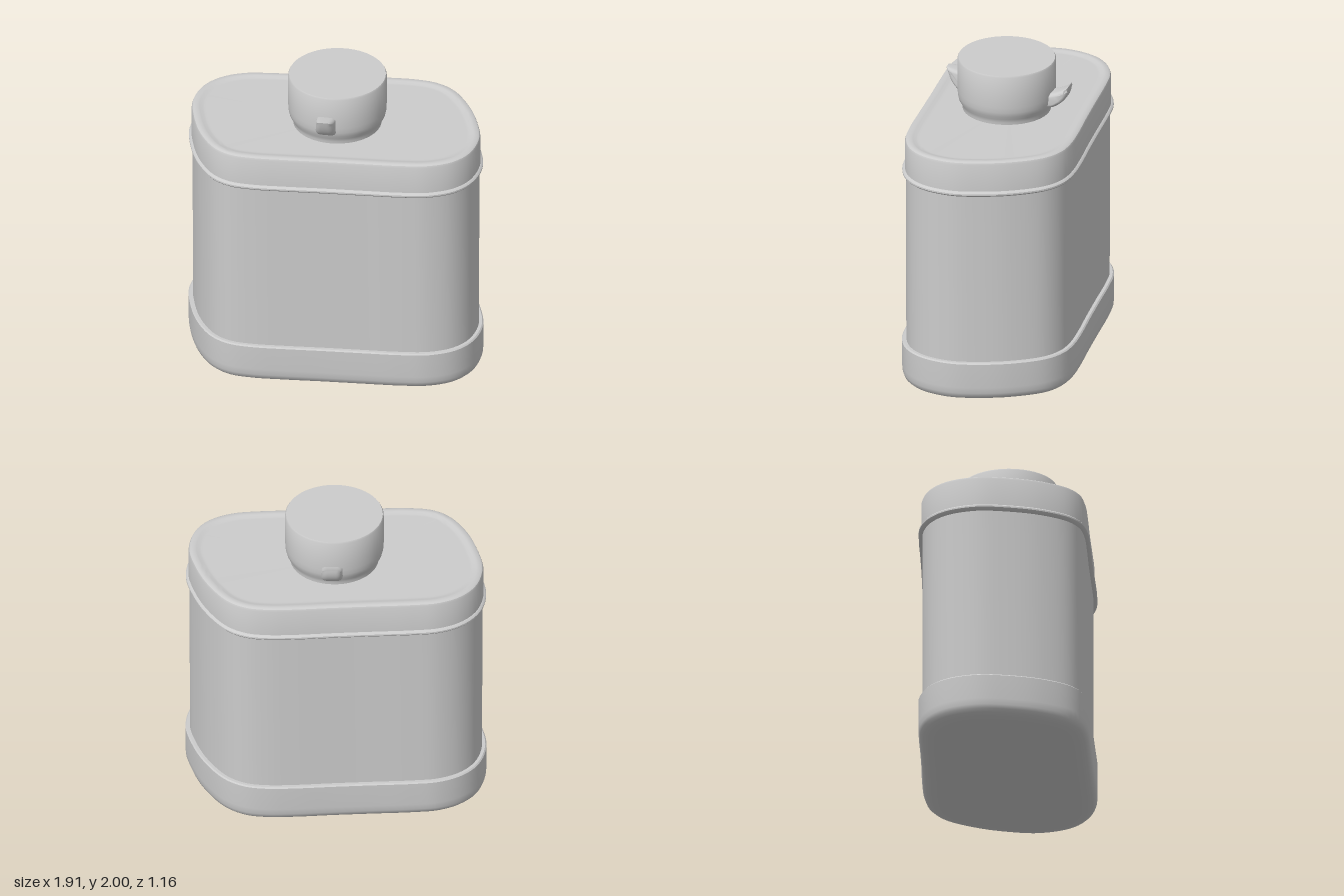
import * as THREE from 'three';
import { toCreasedNormals } from 'three/addons/utils/BufferGeometryUtils.js';

const SEGMENTS = 120;
const material = new THREE.MeshStandardMaterial({ color: 0xcccccc });

// Skewed, slightly uneven oval footprint (x, z).
const footprint = new THREE.CatmullRomCurve3([
  [0, -0.545], [0.25, -0.57], [0.42, -0.577], [0.56, -0.557], [0.69, -0.482],
  [0.825, -0.3], [0.905, -0.12], [0.953, 0.08], [0.92, 0.28], [0.828, 0.408],
  [0.675, 0.489], [0.5, 0.518], [0.25, 0.535],
  [0, 0.55], [-0.25, 0.568], [-0.45, 0.577], [-0.6, 0.56], [-0.72, 0.492],
  [-0.84, 0.327], [-0.92, 0.12], [-0.957, -0.08], [-0.915, -0.275], [-0.815, -0.4],
  [-0.67, -0.475], [-0.5, -0.502], [-0.25, -0.523],
].map(([x, z]) => new THREE.Vector3(x, 0, z)), true);

// Stacks inset copies of the footprint; rows are [height, inset], closed at both ends.
function loft(rows) {
  const position = [], index = [];
  const ring = (y, inset, closed) => {
    for (let i = 0; i < SEGMENTS; i++) {
      const p = footprint.getPointAt(i / SEGMENTS);
      const t = footprint.getTangentAt(i / SEGMENTS);
      if (closed) position.push(0, y, 0);
      else position.push(p.x - t.z * inset, y, p.z + t.x * inset);
    }
  };
  ring(rows[0][0], 0, true);
  rows.forEach(([y, inset]) => ring(y, inset, false));
  ring(rows[rows.length - 1][0], 0, true);
  const last = rows.length;
  for (let j = 0; j <= last; j++) {
    for (let i = 0; i < SEGMENTS; i++) {
      const k = (i + 1) % SEGMENTS;
      const a = j * SEGMENTS + i, b = j * SEGMENTS + k;
      const c = a + SEGMENTS, d = b + SEGMENTS;
      if (j < last) index.push(a, c, d);
      if (j > 0) index.push(a, d, b);
    }
  }
  const geometry = new THREE.BufferGeometry();
  geometry.setAttribute('position', new THREE.Float32BufferAttribute(position, 3));
  geometry.setIndex(index);
  return toCreasedNormals(geometry, 0.6);
}

// Curved lug: a side profile in (z, y) given thickness along x, narrowing to its tip.
function lug(draw, x, width, taper) {
  const shape = new THREE.Shape();
  draw(shape);
  const bevel = 0.035;
  const geometry = new THREE.ExtrudeGeometry(shape, {
    depth: width - 2 * bevel, bevelEnabled: true, bevelThickness: bevel,
    bevelSize: 0.022, bevelOffset: -0.022, bevelSegments: 4, curveSegments: 10,
  });
  geometry.translate(0, 0, -(width - 2 * bevel) / 2);
  geometry.rotateY(-Math.PI / 2);
  const p = geometry.attributes.position;
  for (let i = 0; i < p.count; i++) {
    const t = THREE.MathUtils.clamp((Math.abs(p.getZ(i)) - 0.3) / 0.11, 0, 1);
    p.setX(i, x + p.getX(i) * (1 - taper * t * t));
  }
  return toCreasedNormals(geometry, 0.7);
}

export function createModel() {
  const group = new THREE.Group();
  const add = (name, geometry) => {
    const mesh = new THREE.Mesh(geometry, material);
    mesh.name = name;
    group.add(mesh);
    return mesh;
  };

  // Base tray with a rounded lower edge
  add('base', loft([
    [0, 0.12], [0, 0.1], [0.005, 0.065], [0.018, 0.03], [0.035, 0.012], [0.06, 0.003],
    [0.1, 0], [0.262, 0], [0.27, 0.008],
  ]));

  // Straight container wall
  add('body', loft([[0.2, 0.028], [1.45, 0.026]]));

  // Thin bead below the lid
  add('bead', loft([
    [1.42, 0.026], [1.428, 0.01], [1.437, 0.002], [1.447, 0.002], [1.456, 0.01], [1.46, 0.02],
  ]));

  // Lid with a shallow recessed top panel
  add('lid', loft([
    [1.43, 0.018], [1.64, 0.02], [1.653, 0.025], [1.66, 0.036],
    [1.66, 0.06], [1.658, 0.07], [1.652, 0.09], [1.651, 0.1], [1.651, 0.11],
  ]));

  // Round cap with a tapered neck
  const capProfile = [
    [0, 1.62], [0.28, 1.62], [0.28, 1.665], [0.288, 1.69], [0.303, 1.715], [0.31, 1.745],
    [0.312, 1.78], [0.312, 1.99], [0.306, 2], [0, 2],
  ].map(([r, y]) => new THREE.Vector2(r, y));
  const cap = add('cap', toCreasedNormals(new THREE.LatheGeometry(capProfile, 64), 0.6));
  cap.position.set(0.008, 0, 0.013);

  // Lugs curving up from the cap, front and back
  add('frontLug', lug((s) => {
    s.moveTo(0.27, 1.725);
    s.lineTo(0.32, 1.727);
    s.quadraticCurveTo(0.385, 1.76, 0.415, 1.872);
    s.lineTo(0.36, 1.866);
    s.lineTo(0.27, 1.85);
  }, -0.015, 0.13, 0.35));
  add('backLug', lug((s) => {
    s.moveTo(-0.25, 1.71);
    s.lineTo(-0.25, 1.8);
    s.quadraticCurveTo(-0.35, 1.815, -0.412, 1.868);
    s.quadraticCurveTo(-0.42, 1.77, -0.31, 1.715);
  }, 0.015, 0.135, 0.15));

  return group;
}
